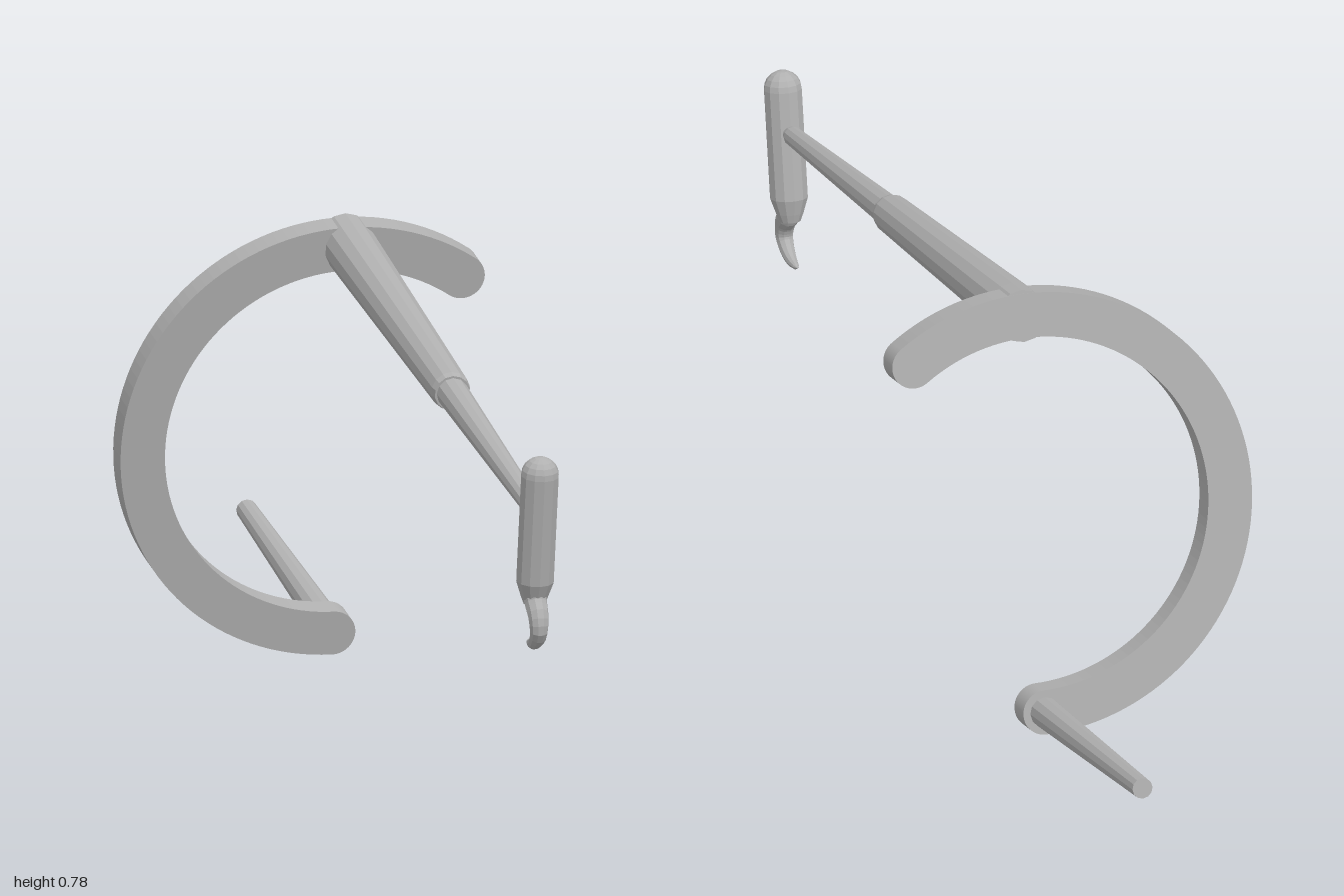
import * as THREE from 'three';

const TILT = THREE.MathUtils.degToRad(10);
const AXIS_X = 0.077, MID = 0.35, HALF = 0.039, DEPTH = 0.05;

export function createModel() {
  const model = new THREE.Group();
  const grey = new THREE.MeshStandardMaterial({ color: 0xb0b0b0 });
  grey.name = 'plain grey';
  grey.flatShading = true;

  const add = (parent, name, geometry) => {
    const mesh = new THREE.Mesh(geometry, grey);
    mesh.name = name;
    parent.add(mesh);
    return mesh;
  };
  const lathe = (pts, sides) =>
    new THREE.LatheGeometry(pts.map(([r, y]) => new THREE.Vector2(r, y)), sides);

  // Leaning frame: the open ring lies in its XY plane, the arms run along its z
  const frame = new THREE.Group();
  frame.name = 'leaningFrame';
  frame.position.set(AXIS_X, 0.39, -0.38);
  frame.rotation.x = TILT;
  model.add(frame);

  // Open C-shaped ring with rounded ends
  const a0 = THREE.MathUtils.degToRad(55.5), a1 = Math.PI * 1.5;
  const c = new THREE.Shape();
  c.absarc(0, 0, MID + HALF, a0, a1, false);
  c.absarc(Math.cos(a1) * MID, Math.sin(a1) * MID, HALF, a1, a1 + Math.PI, false);
  c.absarc(0, 0, MID - HALF, a1, a0, true);
  c.absarc(Math.cos(a0) * MID, Math.sin(a0) * MID, HALF, a0 + Math.PI, a0 + Math.PI * 2, false);
  const ring = new THREE.ExtrudeGeometry(c, { depth: DEPTH, bevelEnabled: false, curveSegments: 40 });
  ring.translate(0, 0, -DEPTH / 2);
  add(frame, 'openRing', ring);

  // Front arm: thick tapered sleeve, then a thinner rod
  const sleeve = lathe([[0, -0.024], [0.046, -0.024], [0.046, 0.03], [0.034, 0.7], [0.031, 0.712], [0, 0.712]], 14);
  const rod = lathe([[0, 0.68], [0.028, 0.68], [0.017, 1.25], [0.012, 1.272], [0, 1.272]], 12);
  for (const [name, g] of [['frontSleeve', sleeve], ['frontRod', rod]]) {
    g.rotateX(Math.PI / 2).translate(0, MID, 0);
    add(frame, name, g);
  }

  // Back arm
  const back = lathe([[0, -0.564], [0.018, -0.564], [0.027, -0.01], [0, -0.01]], 12);
  back.rotateX(Math.PI / 2).translate(0, -MID, 0);
  add(frame, 'backRod', back);

  // Upright grip with a domed top and a narrowed neck
  const grip = [[0, 0.19], [0.018, 0.19], [0.024, 0.205], [0.033, 0.232]];
  for (let i = 0; i <= 5; i++) {
    const t = (i / 5) * Math.PI / 2;
    grip.push([0.033 * Math.cos(t), 0.423 + 0.033 * Math.sin(t)]);
  }
  add(frame, 'grip', lathe(grip, 12)).position.z = 1.294;

  // Tapered hook below the grip
  const path = new THREE.CatmullRomCurve3(
    [[0.385, 0.932], [0.358, 0.938], [0.335, 0.957], [0.308, 0.96], [0.287, 0.937], [0.28, 0.91], [0.281, 0.887]]
      .map(([y, z]) => new THREE.Vector3(AXIS_X, y, z)));
  const STEPS = 16, SIDES = 10;
  const hook = new THREE.TubeGeometry(path, STEPS, 1, SIDES, false);
  const pos = hook.attributes.position, v = new THREE.Vector3();
  for (let i = 0; i < pos.count; i++) {
    const t = Math.floor(i / (SIDES + 1)) / STEPS;
    const centre = path.getPointAt(t);
    const radius = 0.022 * Math.sqrt(1 - t);
    v.fromBufferAttribute(pos, i).sub(centre).multiplyScalar(radius).add(centre);
    pos.setXYZ(i, v.x, v.y, v.z);
  }
  hook.computeVertexNormals();
  add(model, 'hook', hook);

  return model;
}
